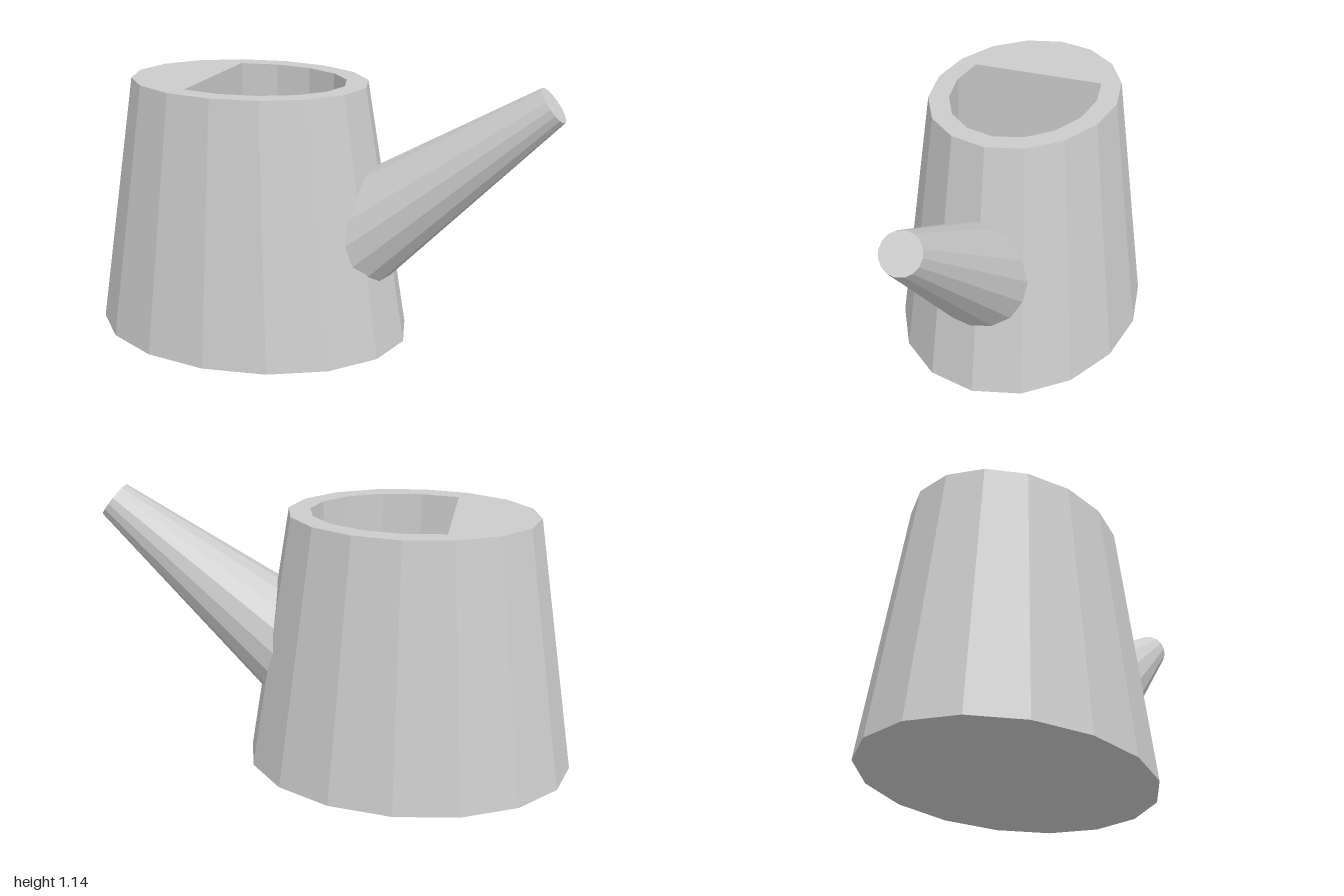
import * as THREE from 'three';

const SIDES = 16;
const HEIGHT = 1.085;
const BODY_X = -0.31;
const material = new THREE.MeshStandardMaterial({ color: 0xcccccc, flatShading: true });

// Points of a 16-sided ellipse, from one step to another
function ellipsePoints(rx, ry, from, to) {
  const points = [];
  for (let i = from; i <= to; i++) {
    const a = (i / SIDES) * Math.PI * 2;
    points.push(new THREE.Vector2(rx * Math.cos(a), ry * Math.sin(a)));
  }
  return points;
}

function extrudeUp(shape, depth) {
  return new THREE.ExtrudeGeometry(shape, { depth, bevelEnabled: false }).rotateX(-Math.PI / 2);
}

function addMesh(group, name, geometry) {
  const mesh = new THREE.Mesh(geometry, material);
  mesh.name = name;
  group.add(mesh);
  return mesh;
}

// Oval body, wider at the foot, around a straight-walled filling hole
function bodyGeometry(opening) {
  const rx = 0.51, rz = 0.39;
  const shape = new THREE.Shape(ellipsePoints(rx, rz, 0, SIDES - 1));
  shape.holes.push(new THREE.Path(opening));
  const geometry = extrudeUp(shape, HEIGHT);
  const p = geometry.attributes.position;
  for (let i = 0; i < p.count; i++) {
    const isOuter = Math.hypot(p.getX(i) / rx, p.getZ(i) / rz) > 0.95;
    if (isOuter && p.getY(i) < 0.01) {
      p.setX(i, p.getX(i) * (0.69 / rx));
      p.setZ(i, p.getZ(i) * (0.53 / rz));
    }
  }
  geometry.computeVertexNormals();
  return geometry;
}

// Tapered spout whose root is cut parallel to the sloping body wall
function spoutGeometry() {
  const angle = THREE.MathUtils.degToRad(38.2);
  const tipRadius = 0.08, taper = 0.147, length = 0.9;
  const axis = new THREE.Vector3(Math.cos(angle), Math.sin(angle), 0);
  const tip = new THREE.Vector3(0.95, 1.08, 0.02);
  const apex = tip.clone().addScaledVector(axis, tipRadius / taper);
  const geometry = new THREE.CylinderGeometry(tipRadius, tipRadius + taper * length, length, SIDES);
  const p = geometry.attributes.position;
  const wall = new THREE.Vector3(1, 0.166, 0);
  const wallOffset = 0.25;
  const v = new THREE.Vector3();
  for (let i = 0; i < p.count; i++) {
    v.fromBufferAttribute(p, i);
    const isRoot = v.y < 0;
    v.y -= length / 2;
    v.applyAxisAngle(new THREE.Vector3(0, 0, 1), angle - Math.PI / 2).add(tip);
    if (isRoot) {
      // slide along the side of the cone to the wall plane
      v.sub(apex);
      v.multiplyScalar((wallOffset - wall.dot(apex)) / wall.dot(v)).add(apex);
    }
    p.setXYZ(i, v.x, v.y, v.z);
  }
  geometry.computeVertexNormals();
  return geometry;
}

export function createModel() {
  const model = new THREE.Group();
  model.name = 'wateringCan';

  // Filling hole: an oval cut off straight at the back end
  const opening = ellipsePoints(0.42, 0.305, -5, 5);
  addMesh(model, 'body', bodyGeometry(opening)).position.x = BODY_X;
  addMesh(model, 'floor', extrudeUp(new THREE.Shape(opening), 0.08)).position.x = BODY_X;
  addMesh(model, 'spout', spoutGeometry());

  return model;
}
